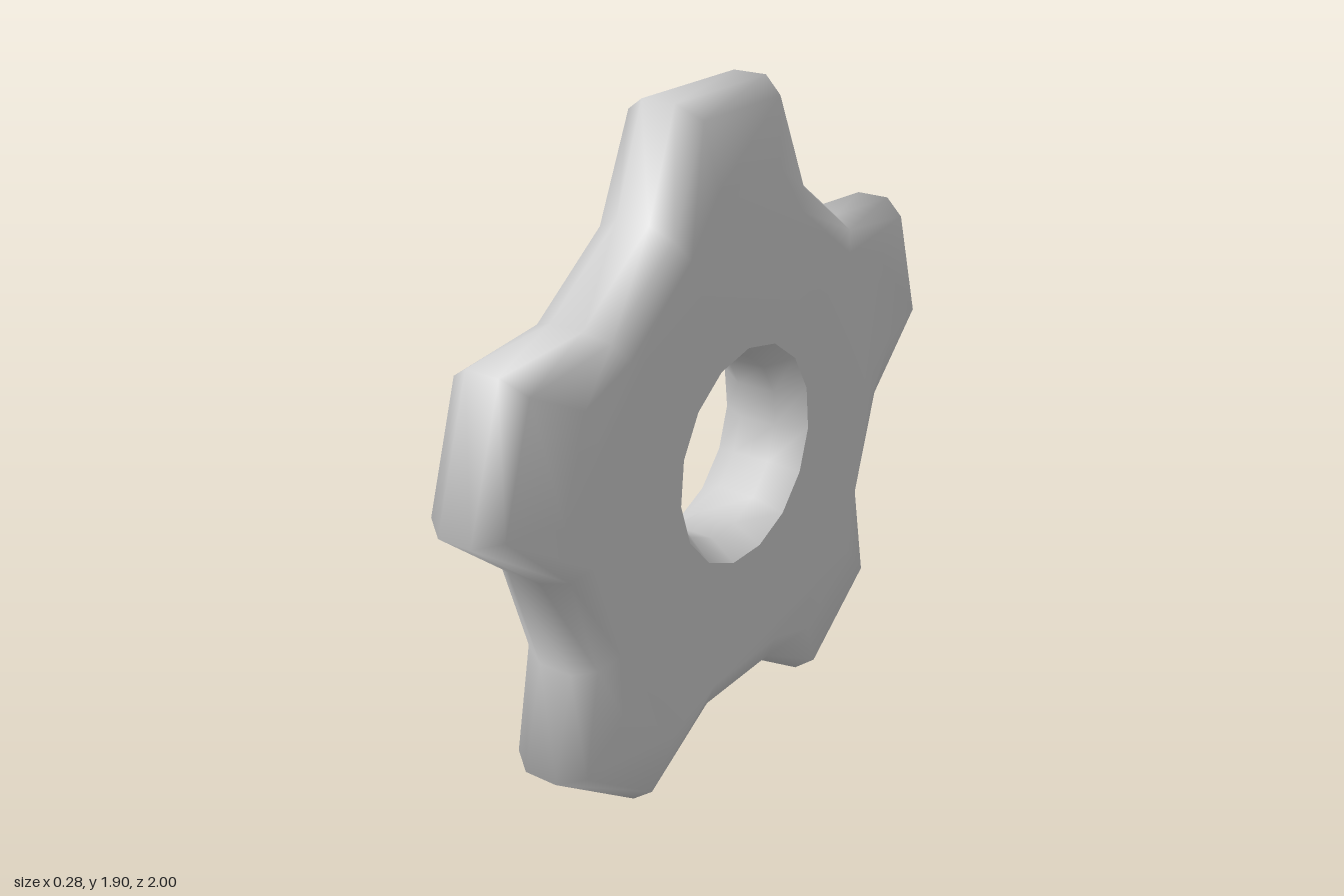
import * as THREE from 'three';
import { mergeGeometries, mergeVertices } from 'three/addons/utils/BufferGeometryUtils.js';

const TEETH = 5;
const CENTER_Y = 0.915;

// Gear outline: two tip corners and two valley corners per tooth
function gearRing(tipR, tipDeg, valleyR, valleyDeg) {
  const points = [];
  for (let t = 0; t < TEETH; t++) {
    const mid = (t * 360) / TEETH;
    for (const [r, deg] of [[valleyR, -valleyDeg], [tipR, -tipDeg], [tipR, tipDeg], [valleyR, valleyDeg]]) {
      const a = THREE.MathUtils.degToRad(mid + deg);
      points.push(new THREE.Vector2(r * Math.sin(a), r * Math.cos(a)));
    }
  }
  return points;
}

function circleRing(radius, sides) {
  return Array.from({ length: sides }, (_, i) => {
    const a = (i / sides) * Math.PI * 2;
    return new THREE.Vector2(radius * Math.sin(a), radius * Math.cos(a));
  });
}

// Skin through rings stacked along the axle; inward turns the faces to the centre
function loft(rings, inward) {
  const n = rings[0].points.length;
  const positions = [];
  const index = [];
  rings.forEach(({ points, w }) => points.forEach((p) => positions.push(p.x, p.y, w)));
  for (let i = 0; i < rings.length - 1; i++) {
    for (let j = 0; j < n; j++) {
      const k = (j + 1) % n;
      const a = i * n + j, b = a + n, c = i * n + k, d = c + n;
      if (inward) index.push(a, c, b, c, d, b);
      else index.push(a, b, c, c, b, d);
    }
  }
  const g = new THREE.BufferGeometry();
  g.setAttribute('position', new THREE.Float32BufferAttribute(positions, 3));
  g.setIndex(index);
  return g;
}

export function createModel() {
  const material = new THREE.MeshStandardMaterial({ color: 0xcccccc });
  const gear = new THREE.Group();
  gear.name = 'gear';

  // Rounded rim from the widest outline to the flat faces
  const outer = gearRing(1.006, 11.5, 0.772, 23.7);
  const shoulder = gearRing(0.961, 10.2, 0.735, 23.7);
  const face = gearRing(0.779, 10.4, 0.67, 22.5);
  const rim = loft([
    { points: face, w: -0.14 },
    { points: shoulder, w: -0.115 },
    { points: outer, w: -0.05 },
    { points: outer, w: 0.05 },
    { points: shoulder, w: 0.115 },
    { points: face, w: 0.14 },
  ], false);

  // Flat faces with the axle hole
  const holeEdge = circleRing(0.31, 15);
  const holeWaist = circleRing(0.26, 15);
  const shape = new THREE.Shape(face);
  shape.holes.push(new THREE.Path(holeEdge));
  const caps = [0, Math.PI].map((turn) => {
    const g = new THREE.ShapeGeometry(shape);
    g.deleteAttribute('normal');
    g.deleteAttribute('uv');
    return g.translate(0, 0, 0.14).rotateY(turn);
  });

  const bodyGeometry = mergeVertices(mergeGeometries([rim, ...caps]), 1e-3);
  bodyGeometry.computeVertexNormals();
  const body = new THREE.Mesh(bodyGeometry, material);
  body.name = 'gearBody';

  // Hole wall, narrower in the middle
  const holeGeometry = loft([
    { points: holeEdge, w: -0.14 },
    { points: holeWaist, w: -0.06 },
    { points: holeWaist, w: 0.06 },
    { points: holeEdge, w: 0.14 },
  ], true);
  holeGeometry.computeVertexNormals();
  const hole = new THREE.Mesh(holeGeometry, material);
  hole.name = 'axleHole';

  // Axle runs along x
  gear.add(body, hole);
  gear.rotation.y = Math.PI / 2;
  gear.position.y = CENTER_Y;

  const model = new THREE.Group();
  model.name = 'cogwheel';
  model.add(gear);
  return model;
}
